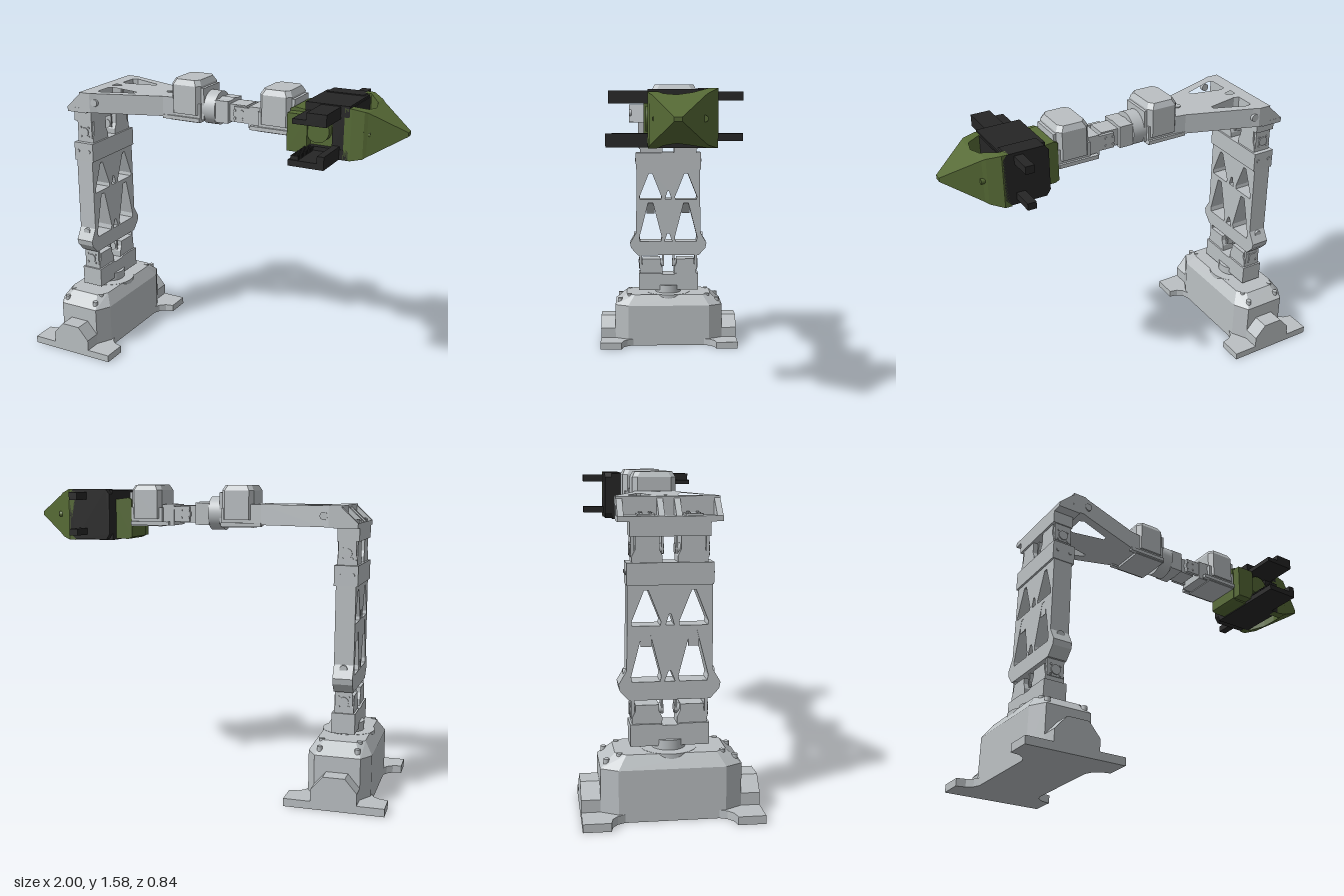
import * as THREE from 'three';
import { ConvexGeometry } from 'three/addons/geometries/ConvexGeometry.js';

const material = (name, color) => Object.assign(new THREE.MeshStandardMaterial({ color }), { name });
const V = (x, y, z) => new THREE.Vector3(x, y, z);

export function createModel() {
  const grey = material('light grey', 0xbbc0c3);
  const green = material('olive green', 0x566a35);
  const black = material('black', 0x262626);
  const root = new THREE.Group();
  root.name = 'robotArm';
  let target = root;

  const add = (name, geo, mat) => {
    const m = new THREE.Mesh(geo, mat);
    m.name = name;
    target.add(m);
    return m;
  };
  const section = (name, x = 0) => {
    target = new THREE.Group();
    target.name = name;
    target.position.x = x;
    root.add(target);
  };
  const box = (name, mat, x0, x1, y0, y1, z0, z1) => add(name,
    new THREE.BoxGeometry(x1 - x0, y1 - y0, z1 - z0)
      .translate((x0 + x1) / 2, (y0 + y1) / 2, (z0 + z1) / 2), mat);
  // cylinder of radius r centred at x, y, z along an axis
  const rod = (name, mat, axis, r, len, x, y, z, sides = 24) => {
    const g = new THREE.CylinderGeometry(r, r, len, sides);
    if (axis === 'x') g.rotateZ(Math.PI / 2);
    if (axis === 'z') g.rotateX(Math.PI / 2);
    return add(name, g.translate(x, y, z), mat);
  };
  // outline extruded from a to b; the outline is (z,y), (x,z) or (x,y) for axis x, y or z
  const slab = (name, mat, axis, a, b, pts, holes = []) => {
    const shape = new THREE.Shape(pts.map(p => new THREE.Vector2(...p)));
    shape.holes = holes.map(h => new THREE.Path(h.map(p => new THREE.Vector2(...p))));
    const g = new THREE.ExtrudeGeometry(shape, { depth: b - a, bevelEnabled: false });
    const m = new THREE.Matrix4();
    if (axis === 'x') m.makeBasis(V(0, 0, 1), V(0, 1, 0), V(-1, 0, 0)).setPosition(b, 0, 0);
    else if (axis === 'y') m.makeBasis(V(1, 0, 0), V(0, 0, 1), V(0, -1, 0)).setPosition(0, b, 0);
    else m.setPosition(0, 0, a);
    return add(name, g.applyMatrix4(m), mat);
  };
  const mirrorU = pts => [...pts, ...pts.map(([u, v]) => [-u, v]).reverse()];
  // octagon with half sizes w, d and inner corners cw, cd
  const octagon = (w, cw, d, cd, y, cx = 0) => [1, -1].flatMap(i => [1, -1].flatMap(k =>
    [V(cx + i * w, y, k * cd), V(cx + i * cw, y, k * d)]));

  // Base housing
  section('base', -0.75);
  add('baseHousing', new ConvexGeometry([
    ...octagon(0.16, 0.115, 0.33, 0.25, 0), ...octagon(0.16, 0.115, 0.33, 0.25, 0.25),
    ...octagon(0.12, 0.08, 0.26, 0.21, 0.312)]), grey);
  rod('turntableCollar', grey, 'y', 0.135, 0.06, 0, 0.283, 0, 40);
  rod('turntable', grey, 'y', 0.08, 0.06, 0, 0.33, 0, 40);
  for (const s of [1, -1]) {
    // Feet with scooped inner corners
    slab('foot', grey, 'y', 0, 0.04, mirrorU([[0.25, 0.42 * s], [0.25, 0.29 * s],
      [0.205, 0.28 * s], [0.175, 0.255 * s], [0.16, 0.22 * s]]));
    slab('footBlock', grey, 'z', s > 0 ? 0.32 : -0.42, s > 0 ? 0.42 : -0.32,
      mirrorU([[0.02, 0], [0.115, 0], [0.115, 0.1], [0.055, 0.17], [0, 0.17], [0, 0.02], [0.02, 0.02]].slice(1, 4)));
    for (const i of [1, -1]) {
      rod('baseScrew', grey, 'y', 0.014, 0.03, i * 0.095, 0.3, s * 0.24, 12);
      rod('baseScrew', grey, 'y', 0.014, 0.03, i * 0.095, 0.275, s * 0.3, 12);
    }
  }

  // Shoulder bracket and the two vertical joints
  section('joints', -0.75);
  slab('shoulderBracket', grey, 'x', -0.06, 0.06, mirrorU([[0.185, 0.33], [0.185, 0.435],
    [0.05, 0.435], [0.03, 0.428]]));
  for (const s of [1, -1]) for (const [y0, y1, yc] of [[0.42, 0.525, 0.495], [1.18, 1.31, 1.245]]) {
    slab('servoTower', grey, 'x', -0.05, 0.05,
      [[0.035, y0], [0.035, yc - 0.03], [0.05, yc], [0.05, y1], [0.16, y1], [0.16, yc], [0.175, yc - 0.03],
        [0.175, y0]].map(([z, y]) => [z * s, y]));
    rod('jointPin', grey, 'z', 0.025, 0.16, 0, yc, s * 0.105);
    box('forkCheek', grey, -0.045, 0.045, yc - 0.035, yc + 0.07, s * 0.172 - 0.007, s * 0.172 + 0.007);
    box('innerCheek', grey, -0.03, 0.03, yc - 0.02, yc + 0.07, s * 0.033 - 0.005, s * 0.033 + 0.005);
    for (const [dx, dy] of [[0, 0], [1, 1], [1, -1], [-1, 1], [-1, -1]])
      rod('jointScrew', grey, 'z', 0.006, 0.006, dx * 0.025, yc + dy * 0.025, s * 0.181, 10);
  }

  // Lower arm with triangular windows
  section('lowerArm', -0.75);
  const windows = [[[-0.02, 0.9], [0.02, 0.9], [0.005, 0.95], [-0.005, 0.95]],
    [[-0.025, 0.635], [0.025, 0.635], [0.006, 0.685], [-0.006, 0.685]]];
  for (const s of [1, -1]) {
    const side = pts => pts.map(([z, y]) => [z * s, y]);
    windows.push(side([[0.045, 0.897], [0.175, 0.897], [0.178, 0.915], [0.12, 1.06], [0.1, 1.06], [0.042, 0.915]]),
      side([[0.045, 0.635], [0.175, 0.635], [0.18, 0.66], [0.125, 0.875], [0.095, 0.875], [0.04, 0.66]]));
  }
  slab('armFrame', grey, 'x', -0.05, 0.05, mirrorU([[0.19, 0.548], [0.232, 0.595], [0.238, 0.625],
    [0.2, 0.69], [0.195, 1.187], [0.03, 1.187], [0.015, 1.17]]), windows);
  box('armCollar', grey, -0.06, 0.06, 1.085, 1.187, -0.2, 0.2);
  for (const s of [1, -1]) {
    add('windowGusset', new ConvexGeometry([0.085, 0.135].flatMap(z =>
      [V(-0.049, 0.8, z * s), V(-0.049, 0.88, z * s), V(0.03, 0.88, z * s)])), grey);
    rod('armBolt', grey, 'z', 0.02, 0.02, 0, 0.67, s * 0.205, 16);
    for (const x of [-0.035, 0.035]) rod('collarScrew', grey, 'z', 0.009, 0.01, x, 1.14, s * 0.2, 10);
  }

  // Elbow with sloped ribs over the two servos
  section('elbow');
  box('elbowBracket', grey, -0.81, -0.7, 1.305, 1.385, -0.185, 0.185);
  box('elbowFloor', grey, -0.81, -0.69, 1.37, 1.395, -0.24, 0.24);
  box('elbowTopBar', grey, -0.73, -0.69, 1.385, 1.48, -0.24, 0.24);
  for (const z of [-0.225, -0.04, 0.04, 0.225])
    slab('elbowRib', grey, 'z', z - 0.014, z + 0.014,
      [[-0.81, 1.375], [-0.69, 1.375], [-0.69, 1.48], [-0.72, 1.48], [-0.81, 1.395]]);
  for (const s of [1, -1]) {
    box('elbowServo', grey, -0.8, -0.72, 1.39, 1.405, s * 0.11 - 0.04, s * 0.11 + 0.04);
    for (const i of [1, -1]) for (const k of [1, -1])
      rod('servoScrew', grey, 'y', 0.007, 0.01, -0.765 + i * 0.022, 1.406, s * 0.11 + k * 0.022, 10);
    rod('elbowBolt', grey, 'z', 0.02, 0.02, -0.64, 1.43, s * 0.228, 16);
  }

  // Upper arm, tapering towards the wrist
  section('upperArm');
  const taper = [[-0.71, 0.24], [-0.665, 0.24], [-0.63, 0.225], [-0.29, 0.11], [-0.22, 0.1]];
  slab('upperArmFrame', grey, 'y', 1.375, 1.48, [...taper, ...taper.map(([x, z]) => [x, -z]).reverse()], [
    [[-0.665, -0.022], [-0.665, 0.022], [-0.62, 0.008], [-0.62, -0.008]],
    ...[1, -1].map(s => [[-0.655, 0.07], [-0.655, 0.17], [-0.63, 0.18], [-0.46, 0.115], [-0.46, 0.095], [-0.63, 0.06]]
      .map(([x, z]) => [x, z * s]))]);
  rod('upperArmBolt', grey, 'y', 0.022, 0.02, -0.305, 1.475, 0, 16);

  // Wrist: two servo housings joined by a swivel
  section('wrist');
  for (const x of [-0.16, 0.345]) {
    add('servoHousing', new ConvexGeometry([...octagon(0.085, 0.065, 0.11, 0.085, 1.4, x),
      ...octagon(0.085, 0.065, 0.11, 0.085, 1.55, x), ...octagon(0.07, 0.05, 0.095, 0.07, 1.578, x)]), grey);
    box('servoCradle', grey, x - 0.09, x + 0.085, 1.36, 1.46, -0.1, 0.1);
    box('servoFlange', grey, x + 0.06, x + 0.1, 1.375, 1.54, -0.085, 0.085);
    for (const s of [1, -1]) box('cradleRail', grey, x - 0.13, x + 0.085, 1.365, 1.385, s * 0.1 - 0.012, s * 0.1 + 0.012);
  }
  rod('swivelCollar', grey, 'x', 0.088, 0.075, -0.035, 1.43, 0, 40);
  rod('swivelNeck', grey, 'x', 0.062, 0.08, 0.035, 1.428, 0, 32);
  box('swivelLug', grey, 0.0, 0.075, 1.37, 1.485, -0.075, 0.075);
  box('wristLink', grey, 0.07, 0.17, 1.38, 1.47, -0.055, 0.055);
  rod('wristPivot', grey, 'z', 0.03, 0.15, 0.135, 1.425, 0);
  for (const s of [1, -1]) {
    box('wristFork', grey, 0.11, 0.27, 1.385, 1.465, s * 0.068 - 0.008, s * 0.068 + 0.008);
    for (const [dx, dy] of [[1, 1], [1, -1], [-1, 1], [-1, -1]])
      rod('wristScrew', grey, 'z', 0.007, 0.006, 0.135 + dx * 0.02, 1.425 + dy * 0.02, s * 0.078, 10);
  }
  box('wristBridge', grey, 0.195, 0.27, 1.365, 1.475, -0.08, 0.08);

  // Gripper mount
  section('gripper');
  slab('gripperMount', green, 'z', -0.1, 0.1, [[0.43, 1.3], [0.45, 1.29], [0.68, 1.29], [0.68, 1.5],
    [0.53, 1.5], [0.45, 1.51], [0.43, 1.5]]);
  box('gripperMountSide', green, 0.435, 0.54, 1.3, 1.49, 0.09, 0.15);
  rod('gripperMotor', green, 'z', 0.06, 0.06, 0.59, 1.415, 0.11);

  // Gripper carriage and sliding rails
  slab('carriageBack', black, 'z', -0.19, -0.1, [[0.52, 1.32], [0.54, 1.29], [0.72, 1.29], [0.75, 1.32],
    [0.75, 1.53], [0.73, 1.555], [0.54, 1.555], [0.52, 1.53]]);
  box('carriageTop', black, 0.52, 0.745, 1.495, 1.55, -0.15, 0.13);
  box('carriageBottom', black, 0.52, 0.745, 1.285, 1.335, -0.15, 0.13);
  box('carriageFace', black, 0.66, 0.75, 1.32, 1.54, -0.15, 0.125);
  box('topRail', black, 0.6, 0.7, 1.485, 1.545, 0.1, 0.31);
  box('topRailLip', black, 0.53, 0.6, 1.485, 1.51, 0.1, 0.31);
  box('bottomRail', black, 0.52, 0.7, 1.285, 1.315, 0.1, 0.325);
  box('bottomRailWall', black, 0.665, 0.7, 1.31, 1.35, 0.1, 0.325);
  for (let i = 0; i < 12; i++)
    box('rackTooth', black, 0.53, 0.57, 1.31, 1.335, 0.135 + i * 0.016, 0.143 + i * 0.016);
  box('topRailEnd', black, 0.65, 0.695, 1.5, 1.54, -0.31, -0.18);
  box('bottomRailEnd', black, 0.65, 0.695, 1.315, 1.35, -0.31, -0.18);

  // Pointed claws, each a chain of hulls between cross-sections [x, outer z, inner z, low y, high y]
  const claw = (name, rows) => {
    const ring = ([x, zo, zi, y0, y1]) => [V(x, y0, zo), V(x, y1, zo), V(x, y0, zi), V(x, y1, zi)];
    rows.slice(1).forEach((r, i) => add(name, new ConvexGeometry([...ring(rows[i]), ...ring(r)]), green));
  };
  claw('rightClaw', [[0.72, -0.19, -0.15, 1.285, 1.555], [0.755, -0.19, -0.145, 1.285, 1.555],
    [0.815, -0.145, -0.07, 1.3, 1.535], [0.83, -0.13, 0, 1.31, 1.525], [1, -0.018, 0, 1.41, 1.43]]);
  claw('leftClaw', [[0.72, 0.13, 0.085, 1.285, 1.54], [0.755, 0.13, 0.085, 1.285, 1.54],
    [0.815, 0.122, 0.06, 1.3, 1.53], [0.83, 0.112, 0, 1.31, 1.525], [1, 0.018, 0, 1.41, 1.43]]);
  for (const z of [-0.125, 0.095]) rod('clawBolt', green, 'x', 0.015, 0.02, 0.832, 1.42, z, 14);

  return root;
}
